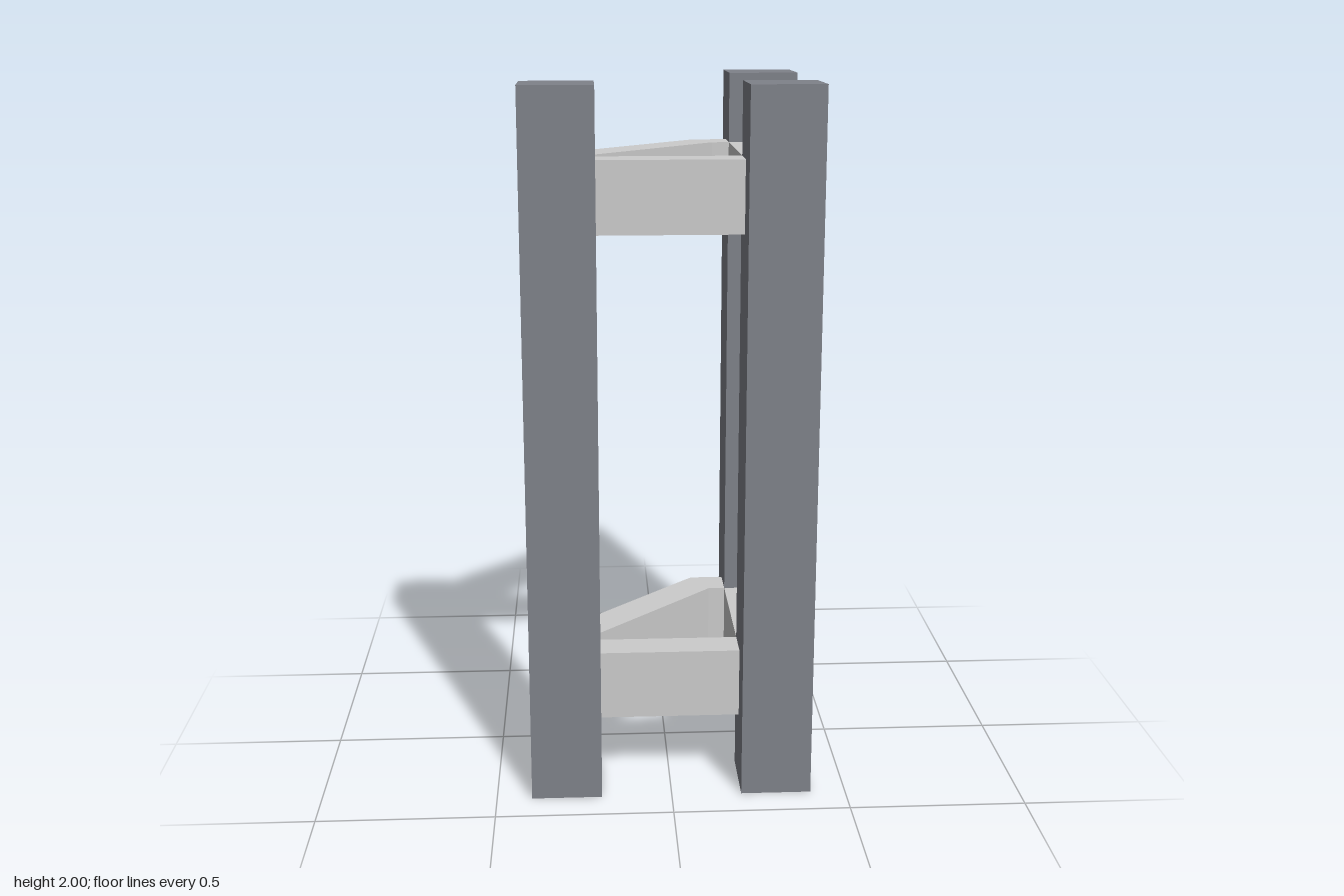
import * as THREE from 'three';

const postMaterial = new THREE.MeshStandardMaterial({ color: 0x7f828a, flatShading: true });
const railMaterial = new THREE.MeshStandardMaterial({ color: 0xcccccc, flatShading: true });

function addBox(parent, name, material, size, position) {
  const mesh = new THREE.Mesh(new THREE.BoxGeometry(...size), material);
  mesh.name = name;
  mesh.position.set(...position);
  parent.add(mesh);
}

// Horizontal ring of rails joining the three posts
function createRailRing(name, bottom) {
  const height = 0.2;
  const ring = new THREE.Group();
  ring.name = name;
  addBox(ring, 'frontRail', railMaterial, [0.4, height, 0.1], [0, height / 2, 0.25]);
  addBox(ring, 'leftRail', railMaterial, [0.1, height, 0.4], [0.25, height / 2, 0]);

  // Diagonal rail with bent ends, outlined in plan as [x, z]
  const plan = [
    [-0.3, 0.2], [-0.2, 0.2], [-0.2, 0.15], [0.15, -0.2],
    [0.2, -0.2], [0.2, -0.3], [0.1, -0.3], [-0.3, 0.1],
  ];
  const shape = new THREE.Shape(plan.map(([x, z]) => new THREE.Vector2(x, -z)));
  const geometry = new THREE.ExtrudeGeometry(shape, { depth: height, bevelEnabled: false });
  geometry.rotateX(-Math.PI / 2);
  const diagonal = new THREE.Mesh(geometry, railMaterial);
  diagonal.name = 'diagonalRail';
  ring.add(diagonal);

  ring.position.y = bottom;
  return ring;
}

export function createModel() {
  const model = new THREE.Group();
  model.name = 'threePostFrame';

  // Square posts on three corners
  const posts = { frontRightPost: [-0.3, 0.3], frontLeftPost: [0.3, 0.3], backLeftPost: [0.3, -0.3] };
  for (const [name, [x, z]] of Object.entries(posts)) {
    addBox(model, name, postMaterial, [0.2, 2, 0.2], [x, 1, z]);
  }

  model.add(createRailRing('lowerRails', 0.2), createRailRing('upperRails', 1.6));
  return model;
}
